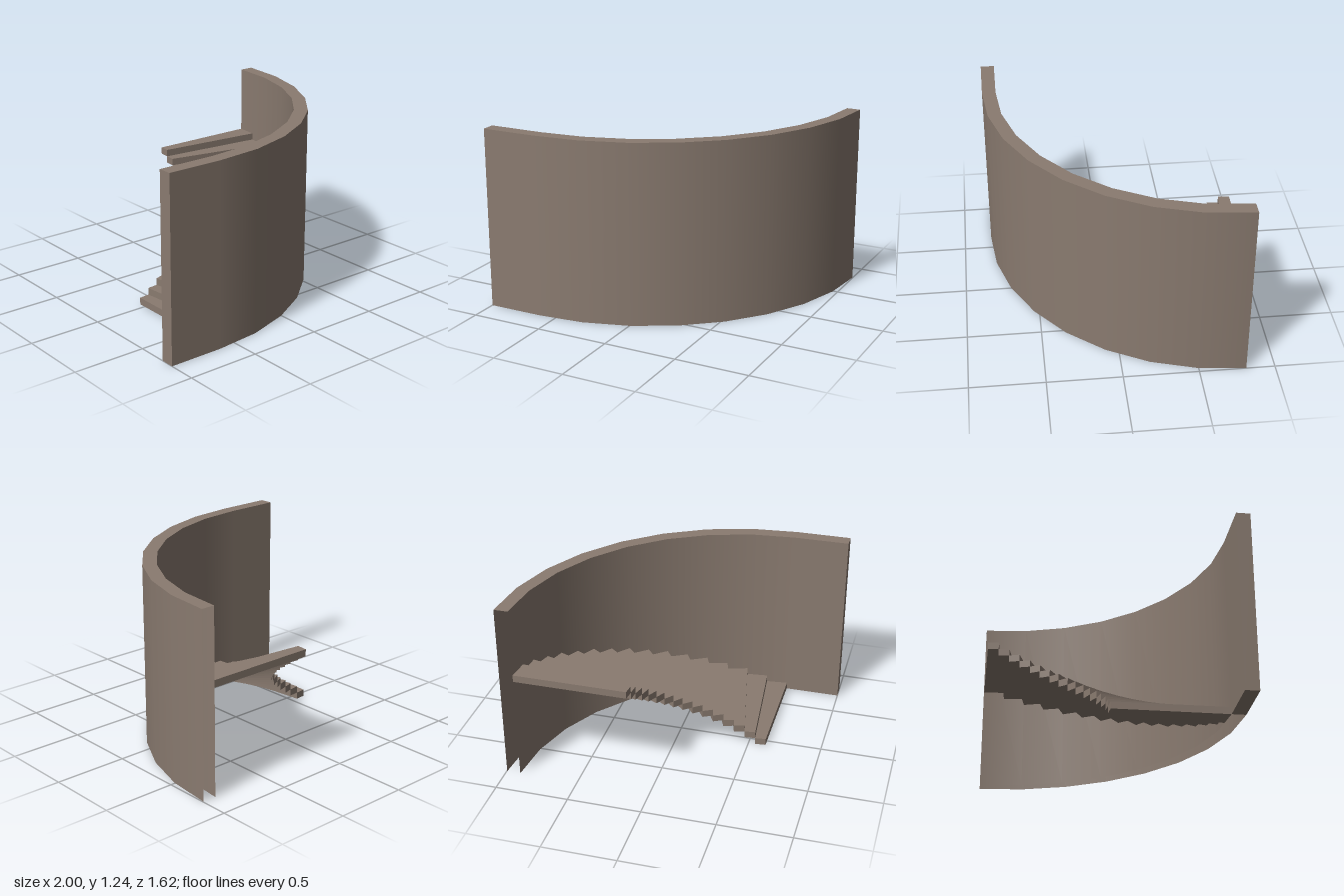
import * as THREE from 'three';

const CX = -0.62, CZ = -0.81;          // centre of the quarter turn
const OUTER = 1.617, INNER = 1.523, WELL = 0.76;
const WALL_H = 1.24, FACETS = 8;
const STEPS = 16, RISE = 0.773 / STEPS;

// Point on the faceted arc; t counts facets, halves fall on the chord
function arcPoint(r, t) {
  const at = (k) => {
    const a = (k / FACETS) * Math.PI / 2;
    return new THREE.Vector2(CX + r * Math.sin(a), -(CZ + r * Math.cos(a)));
  };
  const k = Math.floor(t);
  return at(k).lerp(at(k + 1), t - k);
}

export function createModel() {
  const group = new THREE.Group();
  const stone = new THREE.MeshStandardMaterial({ color: 0x8a7b70, side: THREE.DoubleSide });
  stone.name = 'stone';

  const add = (parent, name, geometry, x, y, z) => {
    const mesh = new THREE.Mesh(geometry, stone);
    mesh.name = name;
    mesh.position.set(x, y, z);
    parent.add(mesh);
  };

  // Curved wall: two smooth skins and a top, open underneath and at the upper end
  const wall = new THREE.Group();
  wall.name = 'curvedWall';
  const skin = (r) => new THREE.CylinderGeometry(r, r, WALL_H, FACETS, 1, true, 0, Math.PI / 2);
  add(wall, 'outerWall', skin(OUTER), CX, WALL_H / 2, CZ);
  add(wall, 'innerWall', skin(INNER), CX, WALL_H / 2, CZ);
  const top = new THREE.RingGeometry(INNER, OUTER, FACETS, 1, -Math.PI / 2, Math.PI / 2);
  top.rotateX(-Math.PI / 2);
  add(wall, 'wallTop', top, CX, WALL_H, CZ);
  group.add(wall);

  // Straight wall beyond the foot of the stairs
  add(group, 'straightWall', new THREE.BoxGeometry(CX + 1, WALL_H, OUTER - INNER),
    (CX - 1) / 2, WALL_H / 2, CZ + (OUTER + INNER) / 2);

  // Winding steps, each a wedge-shaped slab one rise thick
  const stairs = new THREE.Group();
  stairs.name = 'stairs';
  for (let i = 0; i < STEPS; i++) {
    const a = i * FACETS / STEPS, b = (i + 1) * FACETS / STEPS;
    const outline = new THREE.Shape([
      arcPoint(WELL, a), arcPoint(INNER, a), arcPoint(INNER, b), arcPoint(WELL, b),
    ]);
    const slab = new THREE.ExtrudeGeometry(outline, { depth: RISE, bevelEnabled: false });
    slab.rotateX(-Math.PI / 2);
    add(stairs, `step${i + 1}`, slab, 0, i * RISE, 0);
  }
  group.add(stairs);

  return group;
}
